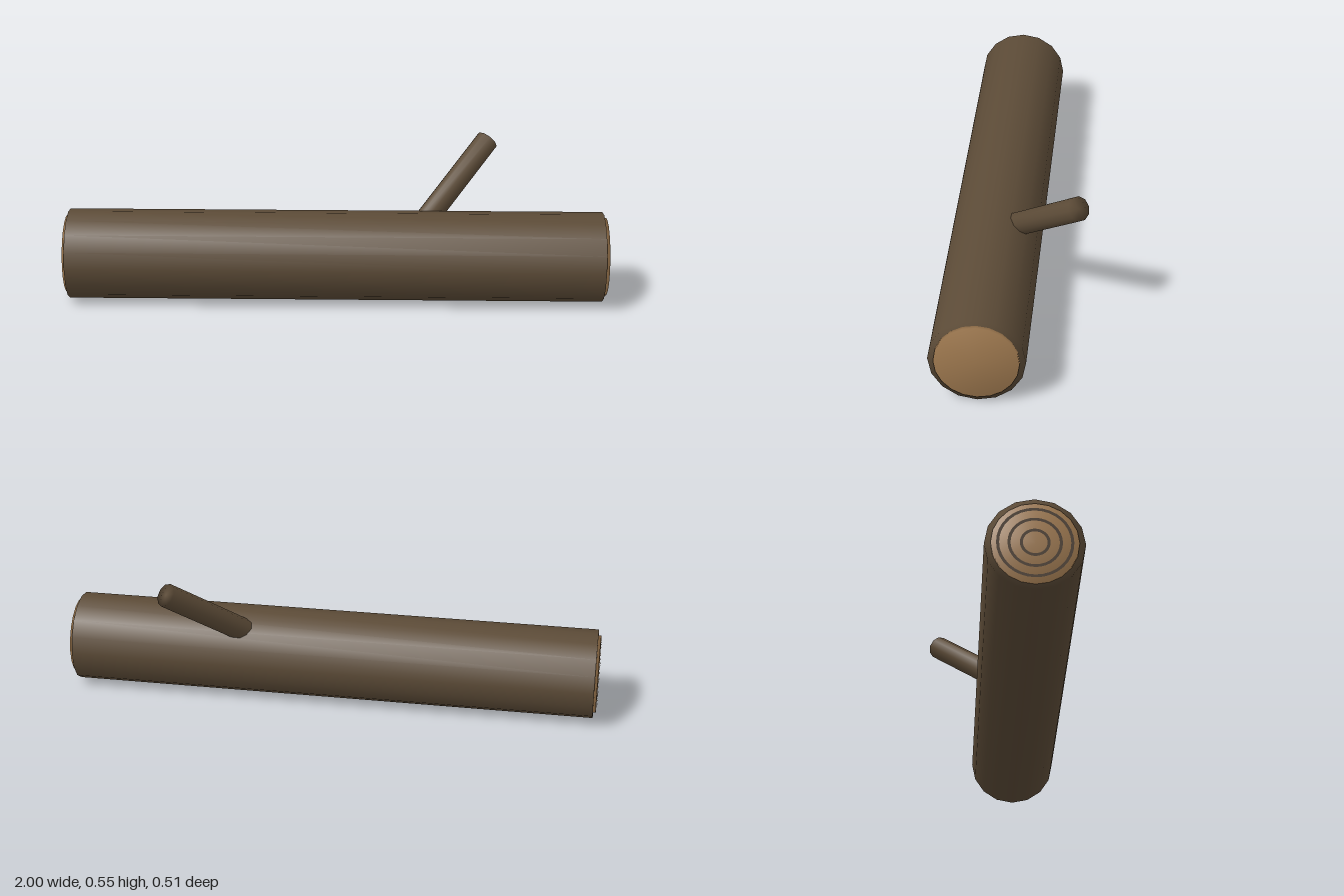
import * as THREE from 'three';
import { mergeVertices } from 'three/addons/utils/BufferGeometryUtils.js';

const paint = (name, color) => {
  const m = new THREE.MeshStandardMaterial({ color });
  m.name = name;
  return m;
};

// Cylinder with shared rim vertices, so its shading runs softly over the edges
function softCylinder(radius, length, sides) {
  const g = new THREE.CylinderGeometry(radius, radius, length, sides);
  g.deleteAttribute('uv');
  g.deleteAttribute('normal');
  const merged = mergeVertices(g, 1e-4);
  merged.computeVertexNormals();
  return merged;
}

export function createModel() {
  const bark = paint('bark', 0x5c4b37);
  const wood = paint('cut wood', 0xa07a50);
  const ringPaint = paint('growth ring', 0x453422);

  const group = new THREE.Group();
  group.name = 'log';
  const add = (name, geometry, material, parent = group) => {
    const mesh = new THREE.Mesh(geometry, material);
    mesh.name = name;
    parent.add(mesh);
    return mesh;
  };

  // Trunk and its cut ends, lying along x
  const trunk = new THREE.Group();
  trunk.name = 'trunk';
  trunk.position.set(0, 0.167, 0.092);
  group.add(trunk);
  add('trunkBark', softCylinder(0.166, 1.974, 16).rotateZ(-Math.PI / 2), bark, trunk);
  for (const side of [-1, 1]) {
    const end = add(side > 0 ? 'leftCutEnd' : 'rightCutEnd',
      softCylinder(0.145, 0.03, 20).rotateZ(-Math.PI / 2), wood, trunk);
    end.position.x = side * (side > 0 ? 0.985 : 0.982);
  }

  // Growth rings on the right end
  for (const r of [0.045, 0.085, 0.122]) {
    const ring = add('growthRing', new THREE.RingGeometry(r - 0.005, r + 0.005, 32), ringPaint, trunk);
    ring.rotation.y = -Math.PI / 2;
    ring.position.x = -1;
  }

  // Side branch, slanting up, left and back
  const direction = new THREE.Vector3(1, 1, -1).normalize();
  const length = 0.48;
  const branch = add('branch', softCylinder(0.044, length, 10), bark);
  branch.quaternion.setFromUnitVectors(new THREE.Vector3(0, 1, 0), direction);
  branch.position.set(0.569, 0.513, -0.221).addScaledVector(direction, -length / 2);

  return group;
}
